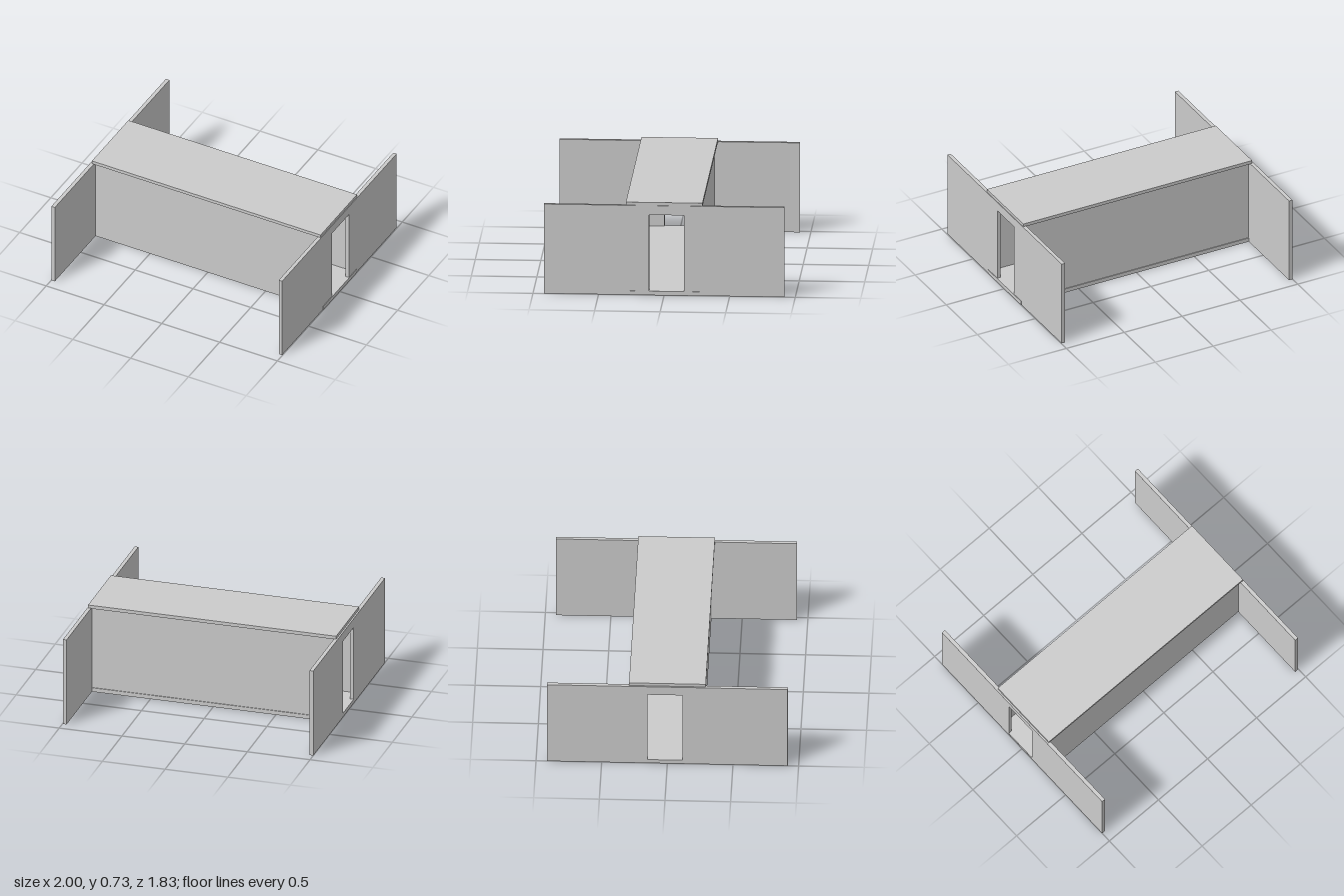
import * as THREE from 'three';

const material = new THREE.MeshStandardMaterial({ color: 0xcccccc, flatShading: true });

export function createModel() {
  const group = new THREE.Group();
  group.name = 'corridor';

  // Box given by its lower and upper limits on each axis
  function slab(name, [x0, x1], [y0, y1], [z0, z1]) {
    const mesh = new THREE.Mesh(new THREE.BoxGeometry(x1 - x0, y1 - y0, z1 - z0), material);
    mesh.position.set((x0 + x1) / 2, (y0 + y1) / 2, (z0 + z1) / 2);
    mesh.name = name;
    group.add(mesh);
  }

  // Wide end wall with a doorway, drawn in the z-y plane and extruded along x
  function endWall(name, x0, x1) {
    const halfWidth = 0.917, height = 0.703;
    const shape = new THREE.Shape();
    shape.moveTo(-halfWidth, 0).lineTo(halfWidth, 0).lineTo(halfWidth, height).lineTo(-halfWidth, height).closePath();
    const door = new THREE.Path();
    door.moveTo(-0.115, 0.032).lineTo(-0.115, 0.63).lineTo(0.152, 0.63).lineTo(0.152, 0.032).closePath();
    shape.holes.push(door);
    const geometry = new THREE.ExtrudeGeometry(shape, { depth: x1 - x0, bevelEnabled: false });
    geometry.rotateY(Math.PI / 2); // drawing x becomes -z, depth becomes +x
    const mesh = new THREE.Mesh(geometry, material);
    mesh.position.x = x0;
    mesh.name = name;
    group.add(mesh);
  }

  endWall('rightEndWall', -1, -0.97);
  endWall('leftEndWall', 0.967, 0.996);

  // Floor runs through the left doorway and shows as a thin sill
  slab('floor', [-0.985, 1], [0, 0.032], [-0.27, 0.26]);

  // Long side walls between the end walls
  slab('frontWall', [-0.975, 0.975], [0.002, 0.702], [0.238, 0.266]);
  slab('backWall', [-0.975, 0.975], [0.03, 0.702], [-0.264, -0.236]);

  // Overhanging roof
  slab('roof', [-0.987, 0.991], [0.7, 0.727], [-0.292, 0.292]);

  return group;
}
